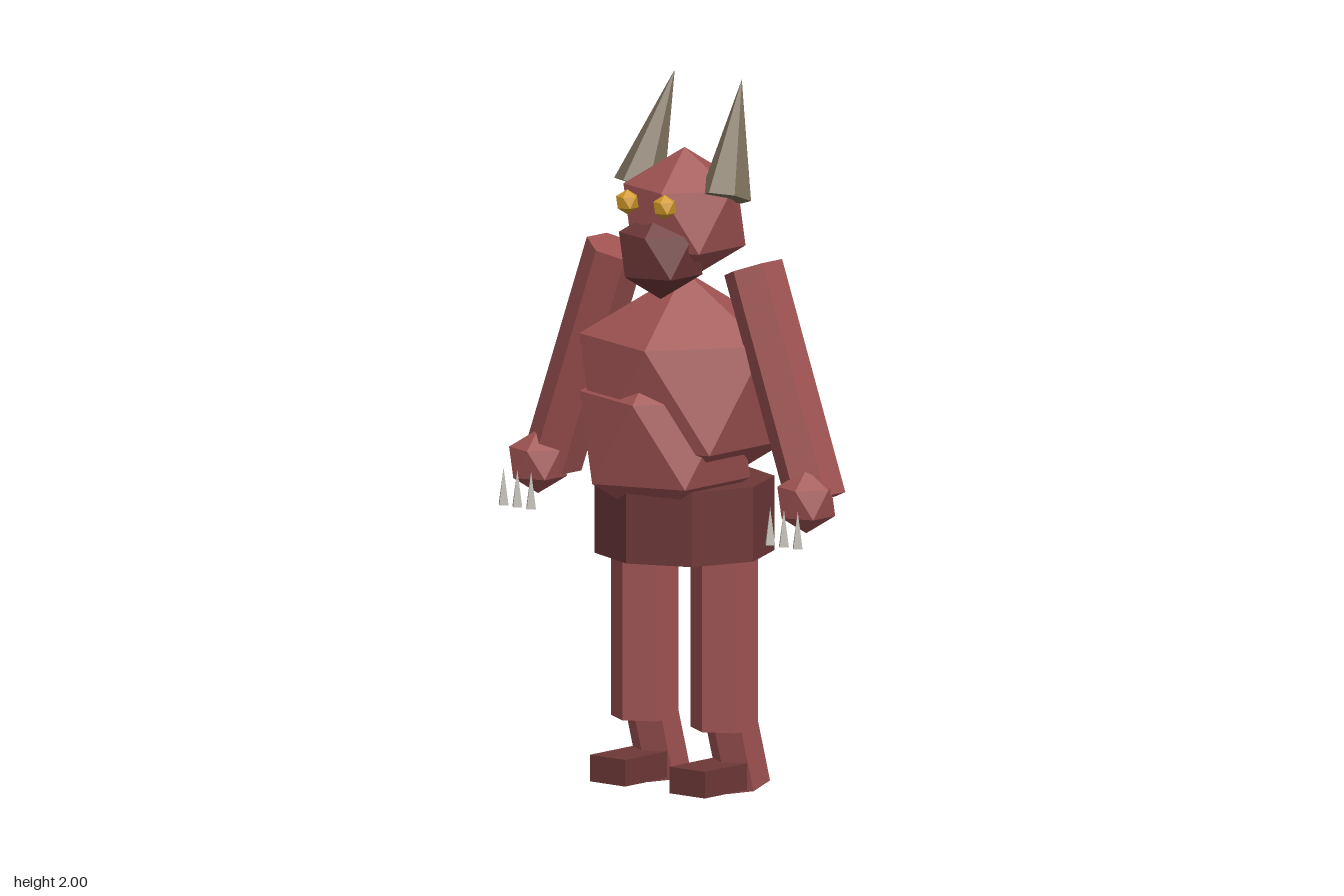
import * as THREE from 'three';

const Z0 = -0.015; // body axis

function material(name, color) {
  const m = new THREE.MeshStandardMaterial({ color });
  m.name = name;
  return m;
}

// faceted copy of a geometry
function faceted(geometry) {
  const g = geometry.index ? geometry.toNonIndexed() : geometry;
  g.computeVertexNormals();
  return g;
}

export function createModel() {
  const skin = material('skin', 0xa05353);
  const darkSkin = material('dark skin', 0x6f3838);
  const horn = material('horn', 0x7d705c);
  const gold = material('gold', 0xd29a28);
  const claw = material('claw', 0xbdbab2);

  const model = new THREE.Group();
  model.name = 'hornedCreature';

  function add(name, geometry, mat, x = 0, y = 0, z = 0) {
    const mesh = new THREE.Mesh(faceted(geometry), mat);
    mesh.name = name;
    mesh.position.set(x, y, z);
    model.add(mesh);
    return mesh;
  }

  // twenty-sided ball with a corner at the top and one of the upper ring at +x
  function ball(name, r, mat, x, y, z) {
    const g = new THREE.IcosahedronGeometry(r, 0);
    g.rotateX(-Math.atan((1 + Math.sqrt(5)) / 2));
    g.rotateY(Math.PI / 2);
    return add(name, g, mat, x, y, z);
  }

  // straight prism or cone running from point a up to point b
  function limb(name, a, b, rBottom, rTop, sides, mat) {
    const from = new THREE.Vector3(...a);
    const dir = new THREE.Vector3(...b).sub(from);
    const length = dir.length();
    const g = rTop > 0
      ? new THREE.CylinderGeometry(rTop, rBottom, length, sides)
      : new THREE.ConeGeometry(rBottom, length, sides);
    g.translate(0, length / 2, 0);
    const mesh = add(name, g, mat, ...a);
    mesh.quaternion.setFromUnitVectors(new THREE.Vector3(0, 1, 0), dir.normalize());
    return mesh;
  }

  // trunk
  ball('torso', 0.327, skin, 0, 1.135, Z0);
  ball('belly', 0.265, skin, 0, 1.012, 0.069);
  add('loincloth', new THREE.CylinderGeometry(0.25, 0.25, 0.21, 8), darkSkin, 0, 0.775, Z0);

  // head
  ball('head', 0.19, skin, 0, 1.62, Z0);
  ball('muzzle', 0.13, darkSkin, 0, 1.525, 0.087);

  for (const [side, s] of [['left', 1], ['right', -1]]) {
    ball(side + 'Eye', 0.035, gold, s * 0.068, 1.67, 0.15);
    limb(side + 'Horn', [s * 0.157, 1.685, -0.005], [s * 0.122, 2.0, -0.117], 0.073, 0, 6, horn);

    // arm, hand and claws
    limb(side + 'Arm', [s * 0.48, 0.87, Z0], [s * 0.25, 1.5, Z0], 0.085, 0.085, 6, skin);
    ball(side + 'Hand', 0.09, skin, s * 0.488, 0.875, 0.038);
    for (const dx of [-0.05, 0, 0.05]) {
      add(side + 'Claw', new THREE.ConeGeometry(0.018, 0.105, 4), claw,
        s * 0.485 + dx, 0.812, 0.13);
    }

    // leg and foot
    limb(side + 'Thigh', [s * 0.145, 0.19, Z0], [s * 0.145, 0.7, Z0], 0.095, 0.095, 6, skin);
    limb(side + 'Shin', [s * 0.145, 0.022, -0.1], [s * 0.145, 0.31, -0.015], 0.074, 0.074, 6, skin);
    add(side + 'Foot', new THREE.BoxGeometry(0.128, 0.075, 0.18), darkSkin, s * 0.145, 0.057, 0.054);
  }

  return model;
}
